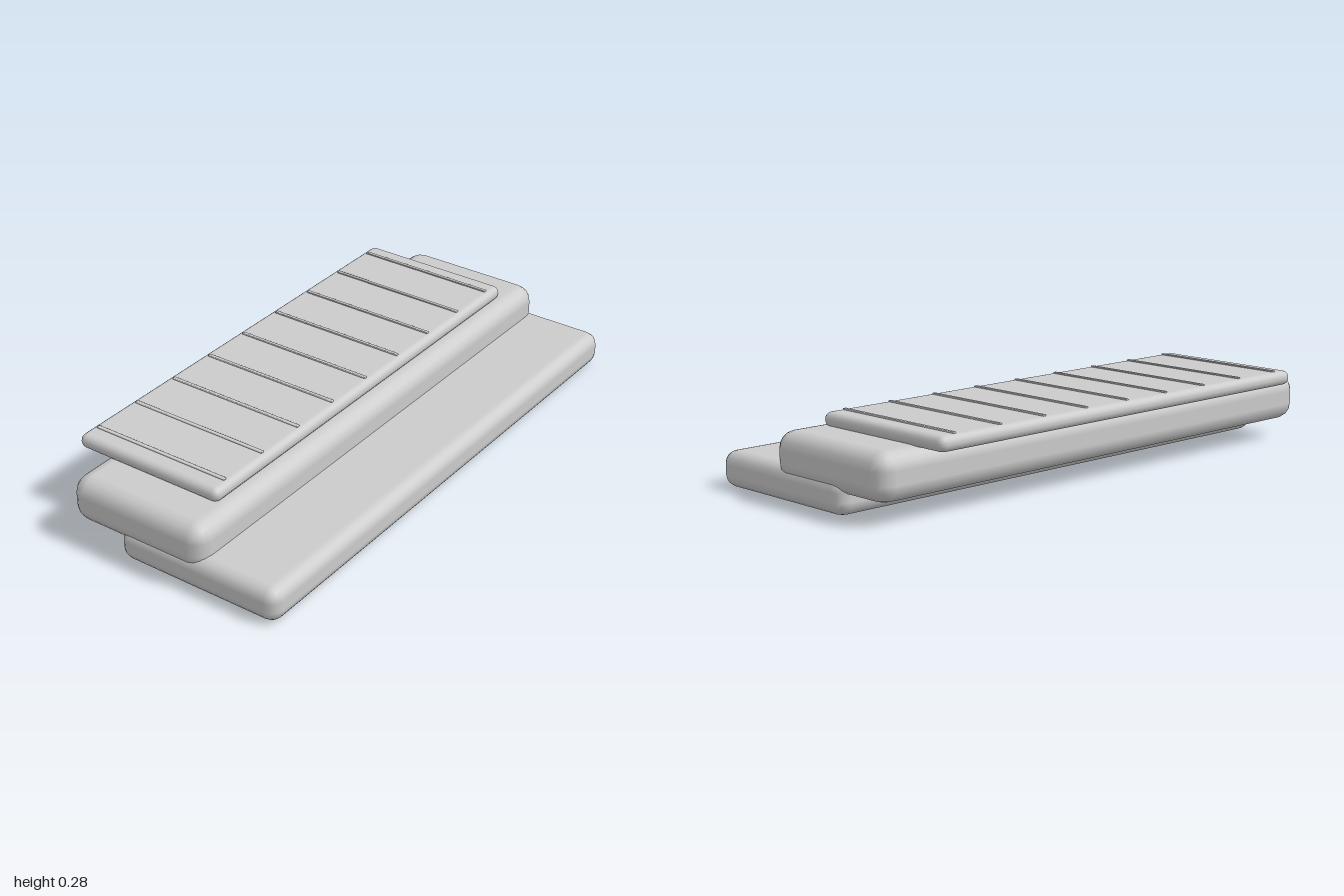
import * as THREE from 'three';
import { RoundedBoxGeometry } from 'three/addons/geometries/RoundedBoxGeometry.js';

export function createModel() {
  const group = new THREE.Group();
  const grey = new THREE.MeshStandardMaterial({ color: 0xcccccc });
  grey.name = 'light grey';

  // Rounded slab given by its half width and its y and z ranges
  function slab(name, halfWidth, [y0, y1], [z0, z1], radius, x = 0, segments = 2) {
    const geometry = new RoundedBoxGeometry(halfWidth * 2, y1 - y0, z1 - z0, segments, radius);
    const mesh = new THREE.Mesh(geometry, grey);
    mesh.name = name;
    mesh.position.set(x, (y0 + y1) / 2, (z0 + z1) / 2);
    group.add(mesh);
  }

  // Three stacked slabs, each set further back
  slab('lowerStep', 1, [0, 0.125], [-0.165, 0.463], 0.046);
  slab('middleStep', 1, [0.07, 0.235], [-0.366, 0.177], 0.06);
  slab('topPanel', 0.841, [0.228, 0.28], [-0.461, 0.118], 0.025);

  // Nine narrow ribs across the top panel
  for (let i = -4; i <= 4; i++) {
    slab('rib', 0.007, [0.273, 0.285], [-0.438, 0.095], 0.003, i * 0.192, 1);
  }
  return group;
}
